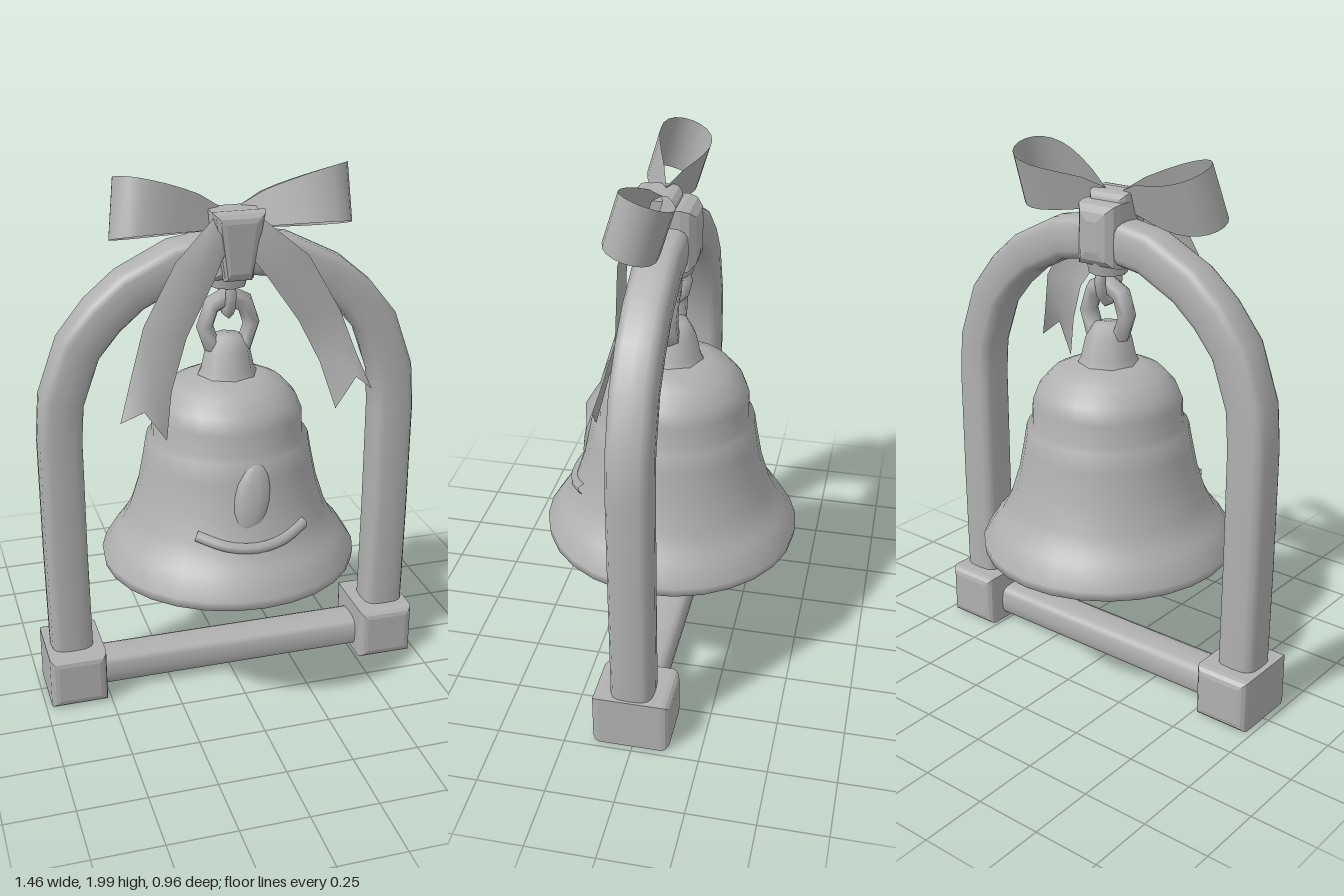
import * as THREE from 'three';

const V = (x, y, z) => new THREE.Vector3(x, y, z);

// Skin a list of equal-length cross-sections; rings may be closed or open
function loft(rings, closed) {
  const n = rings[0].length, pos = [], idx = [];
  rings.forEach(r => r.forEach(p => pos.push(p.x, p.y, p.z)));
  for (let i = 0; i < rings.length - 1; i++) {
    for (let j = 0; j < (closed ? n : n - 1); j++) {
      const k = (j + 1) % n;
      const a = i * n + j, b = i * n + k, c = a + n, d = b + n;
      idx.push(a, b, c, b, d, c);
    }
  }
  const g = new THREE.BufferGeometry();
  g.setAttribute('position', new THREE.Float32BufferAttribute(pos, 3));
  g.setIndex(idx);
  g.computeVertexNormals();
  return g;
}

// Sweep a rounded square along a path lying in the xy plane
function sweepBeam(points, halfWidth, halfDepth, zMid) {
  const rings = points.map((p, i) => {
    const a = points[Math.max(i - 1, 0)], b = points[Math.min(i + 1, points.length - 1)];
    const t = new THREE.Vector2(b.x - a.x, b.y - a.y).normalize();
    const ring = [];
    for (let k = 0; k < 16; k++) {
      const ang = k / 16 * Math.PI * 2, c = Math.cos(ang), s = Math.sin(ang);
      const u = Math.sign(c) * Math.pow(Math.abs(c), 0.6) * halfWidth;
      const w = Math.sign(s) * Math.pow(Math.abs(s), 0.6) * halfDepth;
      ring.push(V(p.x + t.y * u, p.y - t.x * u, zMid + w));
    }
    return ring;
  });
  return loft(rings, true);
}

// Box with rounded edges, centred on the origin
function softBox(w, h, d, b) {
  const s = new THREE.Shape();
  const x = w / 2 - b, y = h / 2 - b;
  s.moveTo(-x, -y); s.lineTo(x, -y); s.lineTo(x, y); s.lineTo(-x, y); s.closePath();
  const g = new THREE.ExtrudeGeometry(s, { depth: d - 2 * b, bevelSize: b, bevelThickness: b, bevelSegments: 3 });
  return g.translate(0, 0, -d / 2 + b);
}

const lathe = (pts, seg) => new THREE.LatheGeometry(pts.map(p => new THREE.Vector2(p[0], p[1])), seg);

export function createModel() {
  const model = new THREE.Group();
  const grey = new THREE.MeshStandardMaterial({ color: 0xb0b0b0, side: THREE.DoubleSide });
  grey.name = 'plain grey';
  const add = (name, geo, x = 0, y = 0, z = 0) => {
    const m = new THREE.Mesh(geo, grey);
    m.name = name;
    m.position.set(x, y, z);
    model.add(m);
    return m;
  };

  // Arched frame: straight posts joined by a curved top, the left side slightly wider
  const half = [[0.625, 0.12], [0.63, 0.6], [0.63, 1.05], [0.618, 1.2], [0.55, 1.39],
    [0.46, 1.5], [0.36, 1.585], [0.19, 1.67]];
  const path = [...half.map(p => V(p[0] + 0.012, p[1], 0)), V(0, 1.7, 0),
    ...half.slice().reverse().map(p => V(-p[0], p[1], 0))];
  add('archFrame', sweepBeam(path, 0.08, 0.08, 0.01));

  // Base bar and feet
  add('baseBar', sweepBeam([V(-0.55, 0.083, 0), V(0.55, 0.083, 0)], 0.063, 0.075, 0.01));
  for (const s of [-1, 1]) add('foot', softBox(0.215, 0.205, 0.29, 0.03), s * 0.62, 0.105, 0.008);

  // Bell shell with thick lip and hollow inside, hanging very slightly askew
  const bell = add('bell', lathe([
    [0, 1.17], [0.19, 1.13], [0.25, 1.0], [0.28, 0.85], [0.34, 0.68], [0.41, 0.56], [0.455, 0.5],
    [0.475, 0.505], [0.48, 0.54], [0.43, 0.62], [0.405, 0.645], [0.37, 0.71], [0.335, 0.82], [0.315, 0.92],
    [0.302, 0.995], [0.28, 1.01], [0.277, 1.09], [0.255, 1.145], [0.205, 1.2], [0.13, 1.235], [0, 1.245]], 28),
  0, 0, 0.012);
  bell.rotation.x = -0.015;

  // Clapper
  add('clapper', lathe([[0, 0.24], [0.05, 0.268], [0.095, 0.31], [0.095, 0.36], [0.058, 0.405],
    [0.06, 0.5], [0.07, 0.54], [0.05, 0.65], [0.045, 1.16]], 10));

  // Low leaf and swag relief lying on the front of the bell
  const leaf = add('leafRelief', new THREE.SphereGeometry(1, 10, 8), 0, 0.87, 0.318);
  leaf.scale.set(0.065, 0.13, 0.022);
  leaf.rotation.set(-0.2, 0, -0.2);
  const swag = [-0.2, -0.1, 0, 0.1, 0.2].map(x => {
    const y = 0.7 + x * x, r = 0.372 - 0.32 * (y - 0.7);
    return V(x, y, Math.sqrt(r * r - x * x));
  });
  add('swagRelief', new THREE.TubeGeometry(new THREE.CatmullRomCurve3(swag), 12, 0.022, 6));

  // Crown, hanging loop and link
  add('crown', lathe([[0.125, 1.21], [0.1, 1.26], [0.085, 1.33], [0.055, 1.38], [0, 1.385]], 8));
  const loop = add('hangingLoop', new THREE.TorusGeometry(0.087, 0.032, 6, 8), 0.003, 1.42, 0);
  loop.scale.set(1, 1.25, 1.2);
  const link = add('link', new THREE.TorusGeometry(0.05, 0.02, 6, 10), 0, 1.54, 0);
  link.scale.y = 1.4;
  link.rotation.y = Math.PI / 2;
  add('hook', new THREE.CylinderGeometry(0.085, 0.07, 0.08, 8), 0, 1.61, 0);

  // Bow loops: a tilted teardrop band that flares quickly away from the knot
  for (const s of [-1, 1]) {
    const rows = [];
    for (let i = 0; i <= 18; i++) {
      const t = i / 18, r = Math.sin(Math.PI * t), w = 0.095 * Math.sin(2 * Math.PI * t);
      const flare = Math.pow(r, 0.6), h = 0.04 + 0.065 * flare;
      const y = 1.825 + 0.057 * flare + 0.3 * w, z = 0.045 + 0.95 * w;
      const x = s * (0.04 + 0.39 * Math.pow(r, 0.9)), lean = s < 0 ? 0.025 * r : 0;
      rows.push([V(x - lean * 0.3, y - 0.95 * h, z + 0.3 * h), V(x + lean, y + 0.95 * h, z - 0.3 * h)]);
    }
    add('bowLoop', loft(rows, false));
  }

  // Ribbon tails with notched ends: inner edge, middle, outer edge per row
  const tail = (rows) => add('ribbonTail', loft(rows.map(r => [
    V(r[0], r[1], r[4] + 0.005), V((r[0] + r[2]) / 2, r[5] ?? (r[1] + r[3]) / 2, r[4] + 0.02),
    V(r[2], r[3], r[4])]), false));
  tail([[-0.02, 1.76, -0.08, 1.84, 0.11], [-0.1, 1.63, -0.23, 1.71, 0.165],
    [-0.2, 1.45, -0.35, 1.5, 0.185], [-0.27, 1.28, -0.41, 1.34, 0.24], [-0.3, 1.12, -0.46, 1.2, 0.285, 1.24]]);
  tail([[0.02, 1.74, 0.08, 1.84, 0.11], [0.11, 1.62, 0.26, 1.69, 0.135],
    [0.23, 1.45, 0.39, 1.47, 0.115], [0.3, 1.3, 0.44, 1.32, 0.155], [0.35, 1.13, 0.49, 1.19, 0.195, 1.25]]);

  // Knot in front, tapering downward, and a soft band wrapped over the arch
  const knot = softBox(0.18, 0.25, 0.08, 0.035);
  const kp = knot.attributes.position;
  for (let i = 0; i < kp.count; i++) kp.setX(i, kp.getX(i) * (0.8 + kp.getY(i) * 2));
  knot.computeVertexNormals();
  add('knot', knot, 0.01, 1.735, 0.1).rotation.x = 0.08;
  add('knotBand', softBox(0.17, 0.23, 0.2, 0.06), 0, 1.715, 0.0);
  add('knotTop', softBox(0.17, 0.09, 0.15, 0.04), 0, 1.815, 0.05);
  return model;
}
